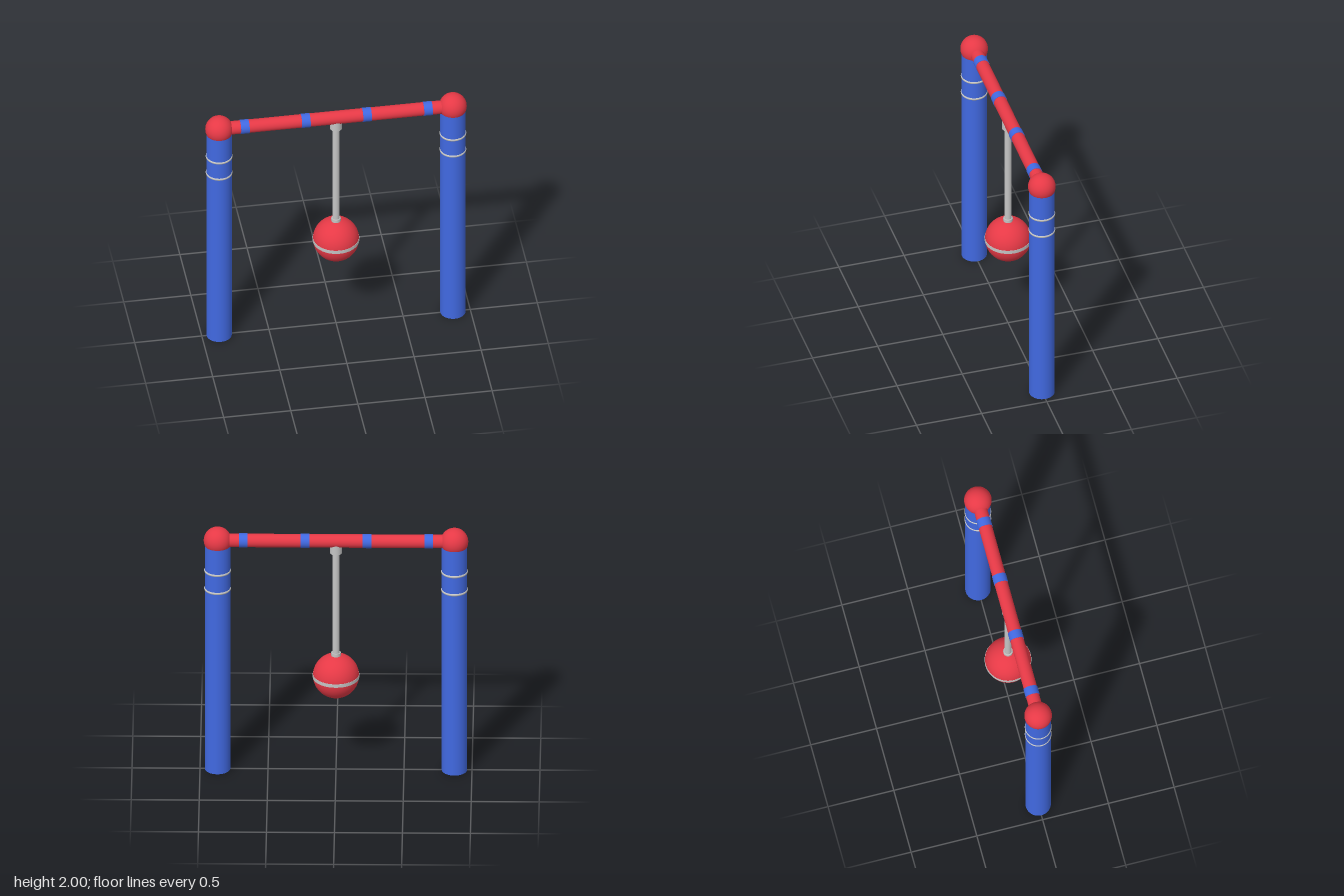
import * as THREE from 'three';

export function createModel() {
  const group = new THREE.Group();
  const material = (name, color) => {
    const m = new THREE.MeshStandardMaterial({ color });
    m.name = name;
    return m;
  };
  const red = material('red', 0xe63946);
  const blue = material('blue', 0x4169e1);
  const silver = material('silver', 0xc4c4c4);

  const add = (name, geometry, mat, x, y) => {
    const mesh = new THREE.Mesh(geometry, mat);
    mesh.name = name;
    mesh.position.set(x, y, 0);
    group.add(mesh);
    return mesh;
  };
  const rod = (radius, length) => new THREE.CylinderGeometry(radius, radius, length, 40);
  const beamY = 1.898;
  const ballY = 0.78;

  // Two posts with ball caps and silver rings
  for (const [side, x] of [['left', 0.871], ['right', -0.871]]) {
    add(side + 'Post', rod(0.094, 1.9), blue, x, 0.95);
    add(side + 'Cap', new THREE.SphereGeometry(0.102, 40, 28), red, x, beamY);
    for (const y of [1.5, 1.65]) {
      add(side + 'PostRing', new THREE.TorusGeometry(0.0875, 0.0115, 12, 48), silver, x, y)
        .rotation.x = Math.PI / 2;
    }
  }

  // Crossbeam with four blue bands
  add('crossbeam', rod(0.05, 1.74), red, 0, beamY).rotation.z = Math.PI / 2;
  for (const x of [-0.682, -0.228, 0.228, 0.682]) {
    add('beamBand', rod(0.053, 0.064), blue, x, beamY).rotation.z = Math.PI / 2;
  }

  // Hanging rod with a collar at each end
  add('topCollar', rod(0.044, 0.08), silver, 0, 1.84);
  add('hangingRod', rod(0.027, 0.95), silver, 0, 1.375);
  add('bottomCollar', rod(0.035, 0.05), silver, 0, 0.947);

  // Ball with a silver belt
  add('ball', new THREE.SphereGeometry(0.17, 48, 32), red, 0, ballY);
  add('ballBelt', rod(0.172, 0.027), silver, 0, ballY);

  return group;
}
